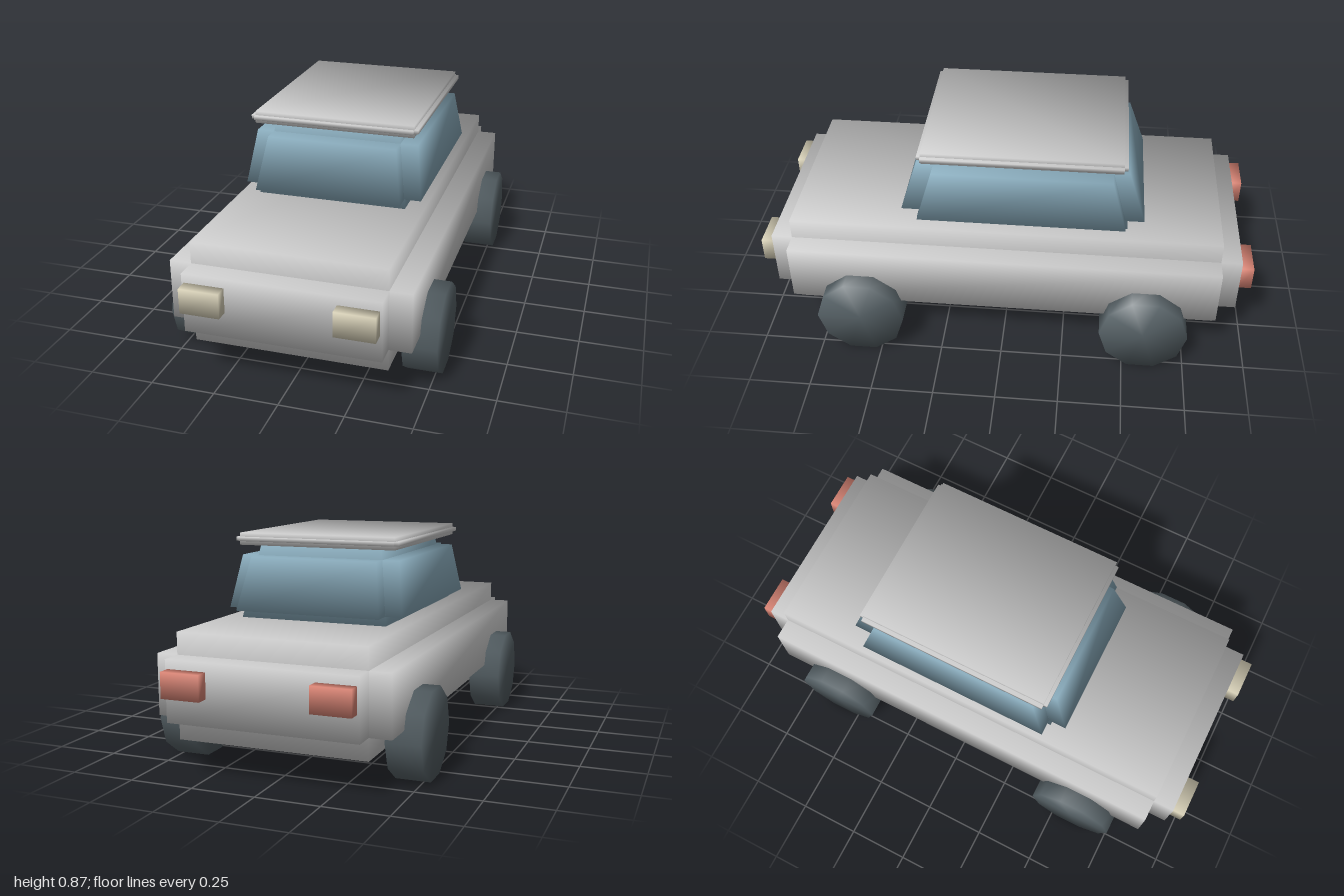
import * as THREE from 'three';
import { mergeVertices } from 'three/addons/utils/BufferGeometryUtils.js';

const paint = (name, color) => Object.assign(new THREE.MeshStandardMaterial({ color }), { name });

// Weld all vertices so normals run smoothly over the edges
function weld(geometry) {
  geometry.deleteAttribute('normal');
  geometry.deleteAttribute('uv');
  const welded = mergeVertices(geometry, 1e-4);
  welded.computeVertexNormals();
  return welded;
}

// Softly shaded block between two levels, each { x: half width, z: [back, front], y }
function softBlock(bottom, top) {
  const geometry = weld(new THREE.BoxGeometry(2, 2, 2));
  const { position, normal } = geometry.attributes;
  const v = new THREE.Vector3();
  for (let i = 0; i < position.count; i++) {
    v.fromBufferAttribute(position, i);
    const level = v.y > 0 ? top : bottom;
    position.setXYZ(i, v.x * level.x, level.y, level.z[v.z > 0 ? 1 : 0]);
    v.normalize();
    normal.setXYZ(i, v.x, v.y, v.z); // corners face diagonally outwards
  }
  return geometry;
}

export function createModel() {
  const model = new THREE.Group();
  const bodyGrey = paint('bodyGrey', 0xd2d2d2);
  const glassBlue = paint('glassBlue', 0x8db0c1);
  const tyreGrey = paint('tyreGrey', 0x566166);
  const lampCream = paint('lampCream', 0xdcd5bc);
  const lampRed = paint('lampRed', 0xdf8878);

  const add = (name, geometry, material, x = 0, y = 0, z = 0) => {
    const mesh = new THREE.Mesh(geometry, material);
    mesh.name = name;
    mesh.position.set(x, y, z);
    model.add(mesh);
  };
  const straight = (x, z, y0, y1) => softBlock({ x, z, y: y0 }, { x, z, y: y1 });

  // Lower body: three crossing blocks leave stepped edges
  add('bodyCore', straight(0.373, [-0.865, 0.865], 0.13, 0.535), bodyGrey);
  add('bodySides', straight(0.458, [-0.865, 0.865], 0.215, 0.45), bodyGrey);
  add('bodyEnds', straight(0.373, [-0.95, 0.95], 0.215, 0.45), bodyGrey);

  // Tapered glass cabin, stepped in the same way
  add('cabinCore', softBlock(
    { x: 0.3, z: [-0.49, 0.358], y: 0.535 },
    { x: 0.253, z: [-0.41, 0.274], y: 0.817 }), glassBlue);
  add('cabinSideWindows', softBlock(
    { x: 0.36, z: [-0.48, 0.347], y: 0.57 },
    { x: 0.33, z: [-0.421, 0.286], y: 0.775 }), glassBlue);
  add('cabinWindscreens', softBlock(
    { x: 0.294, z: [-0.555, 0.42], y: 0.57 },
    { x: 0.26, z: [-0.485, 0.355], y: 0.775 }), glassBlue);

  // Thin roof with a stepped rim
  add('roofCore', straight(0.322, [-0.458, 0.325], 0.817, 0.865), bodyGrey);
  add('roofSides', straight(0.338, [-0.458, 0.325], 0.833, 0.849), bodyGrey);
  add('roofEnds', straight(0.322, [-0.473, 0.34], 0.833, 0.849), bodyGrey);

  // Ten-sided wheels standing on a flat side, and the lamps
  const wheel = weld(new THREE.CylinderGeometry(0.177, 0.177, 0.135, 10).rotateZ(Math.PI / 2));
  const lamp = straight(0.0765, [-0.025, 0.025], -0.049, 0.049);
  for (const [side, sx] of [['left', 1], ['right', -1]]) {
    add(side + 'FrontWheel', wheel, tyreGrey, sx * 0.458, 0.168, 0.577);
    add(side + 'RearWheel', wheel, tyreGrey, sx * 0.458, 0.168, -0.577);
    add(side + 'Headlamp', lamp, lampCream, sx * 0.287, 0.366, 0.975);
    add(side + 'TailLamp', lamp, lampRed, sx * 0.287, 0.366, -0.975);
  }
  return model;
}
